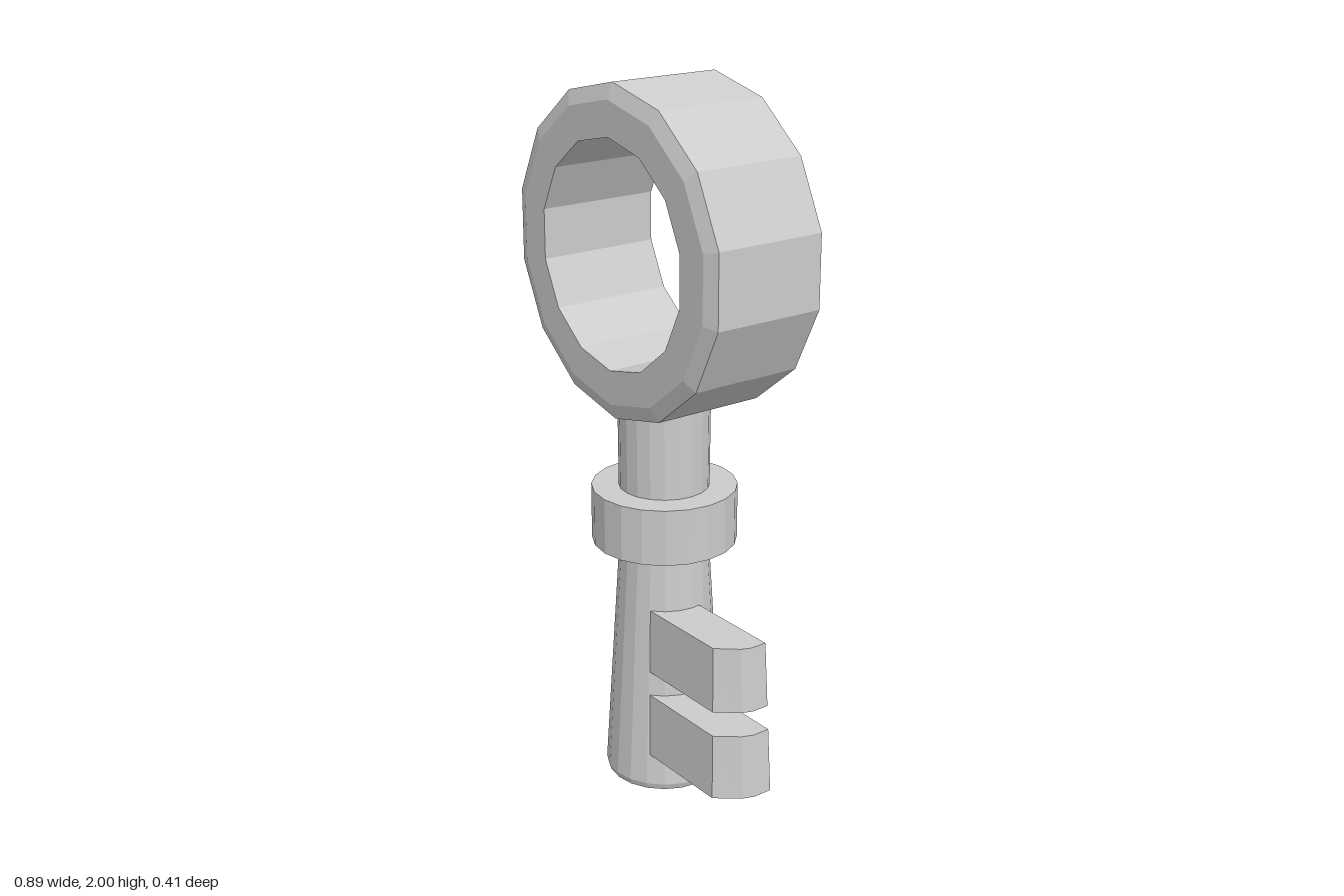
import * as THREE from 'three';

const material = new THREE.MeshStandardMaterial({ color: 0xcccccc, flatShading: true });
const CX = -0.007;

function addMesh(group, name, geometry) {
  const mesh = new THREE.Mesh(geometry, material);
  mesh.name = name;
  group.add(mesh);
  return mesh;
}

function lathe(points, segments) {
  return new THREE.LatheGeometry(points.map(([r, y]) => new THREE.Vector2(r, y)), segments);
}

// Tooth with a rounded front corner, narrowing upward along with the shaft
function toothGeometry(bottom, height) {
  const shape = new THREE.Shape([
    [0, -0.125], [0.38, -0.125], [0.431, -0.06], [0.443, -0.028], [0.443, 0.028], [0, 0.028],
  ].map(([x, y]) => new THREE.Vector2(x, y)));
  const geo = new THREE.ExtrudeGeometry(shape, { depth: height, bevelEnabled: false });
  geo.rotateX(-Math.PI / 2); // shape y becomes -z, depth becomes y
  geo.translate(0, bottom, 0);
  const p = geo.attributes.position;
  for (let i = 0; i < p.count; i++) {
    const rise = p.getY(i) - 0.11;
    p.setX(i, p.getX(i) * (1 - 0.15 * rise));
    p.setZ(i, p.getZ(i) * (1 - 0.32 * rise));
  }
  geo.computeVertexNormals();
  return geo;
}

export function createModel() {
  const key = new THREE.Group();
  key.name = 'key';

  // Ring handle: 14 sides, chamfered outer rims
  const ring = lathe([
    [0.31, -0.179], [0.405, -0.179], [0.4475, -0.163], [0.4475, 0.163],
    [0.405, 0.179], [0.31, 0.179], [0.31, -0.179],
  ], 14);
  ring.rotateX(-Math.PI / 2);
  addMesh(key, 'ringHandle', ring).position.set(CX, 1.5525, -0.002);

  // Shaft: flared at the foot, with a small chamfer at the base
  const shaft = lathe([
    [0, 0], [0.162, 0], [0.168, 0.018], [0.125, 0.72], [0.128, 1.18], [0, 1.18],
  ], 20);
  addMesh(key, 'shaft', shaft).position.set(CX, 0, -0.001);

  // Collar around the shaft
  const collar = new THREE.CylinderGeometry(0.203, 0.203, 0.16, 20);
  addMesh(key, 'collar', collar).position.set(CX, 0.8, -0.002);

  // Two teeth on the left side
  [['lowerTooth', 0.11], ['upperTooth', 0.365]].forEach(([name, bottom]) => {
    addMesh(key, name, toothGeometry(bottom, 0.185));
  });

  return key;
}
